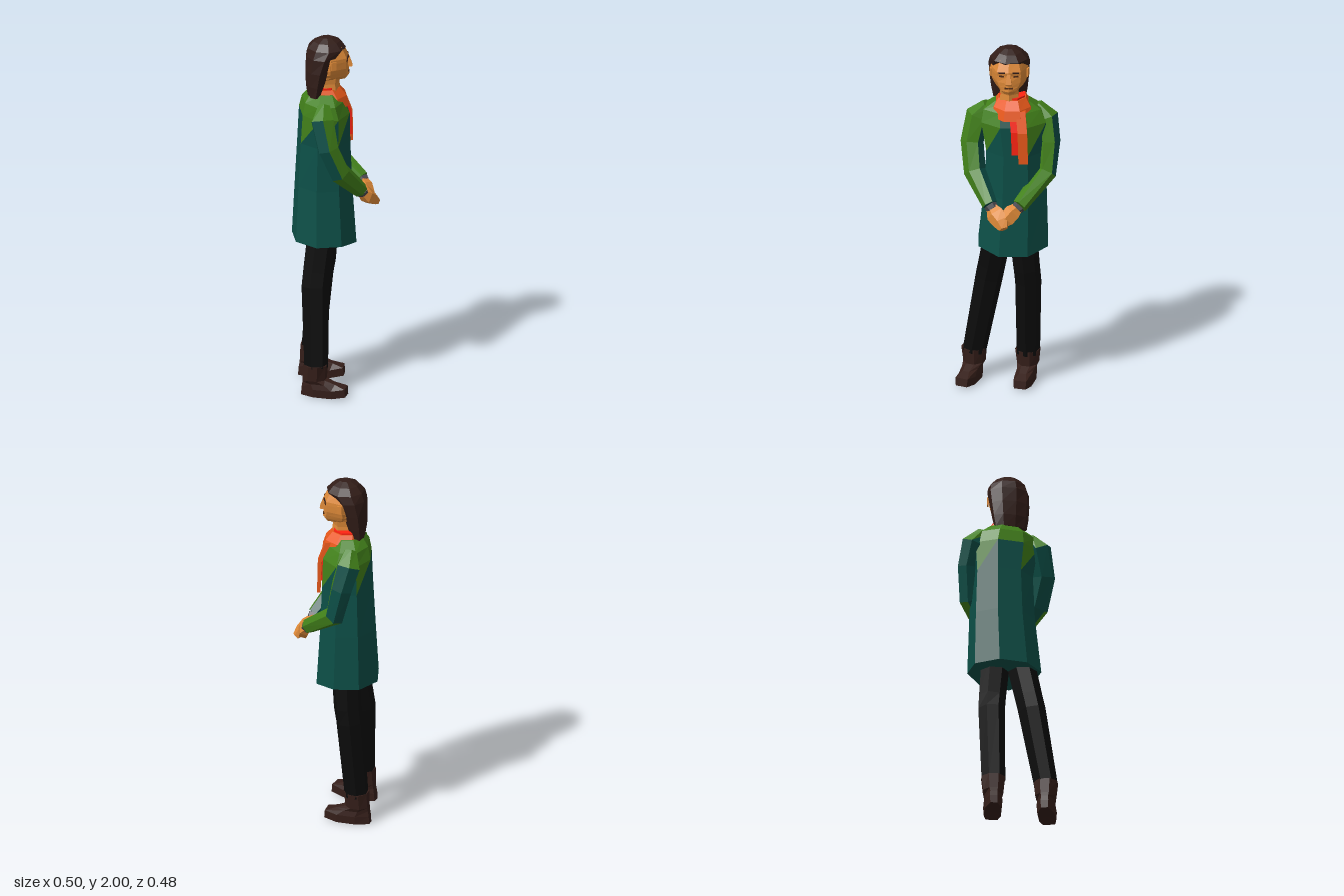
import * as THREE from 'three';

const V = (x, y, z) => new THREE.Vector3(x, y, z);
const mat = (color) => new THREE.MeshStandardMaterial({ color, flatShading: true, side: THREE.DoubleSide });

// Flat-faced skin over cross-sections; tint(centre, normal) picks one of the materials for each face.
function loft(name, rings, mats, tint = () => 0) {
  mats = [].concat(mats);
  const faces = mats.map(() => []);
  const tri = (a, b, c) => {
    const n = b.clone().sub(a).cross(c.clone().sub(a)).normalize();
    const m = a.clone().add(b).add(c).divideScalar(3);
    faces[tint(m, n)].push(...a.toArray(), ...b.toArray(), ...c.toArray());
  };
  const count = rings[0].length;
  const middle = (r) => r.reduce((s, p) => s.add(p), V(0, 0, 0)).divideScalar(count);
  const first = rings[0], last = rings[rings.length - 1];
  const c0 = middle(first), c1 = middle(last);
  for (let j = 0; j < count; j++) {
    const k = (j + 1) % count;
    for (let i = 0; i < rings.length - 1; i++) {
      const lo = rings[i], hi = rings[i + 1];
      tri(lo[j], lo[k], hi[k]);
      tri(lo[j], hi[k], hi[j]);
    }
    tri(c0, first[k], first[j]);
    tri(c1, last[j], last[k]);
  }
  const geo = new THREE.BufferGeometry();
  let start = 0;
  faces.forEach((f, i) => { geo.addGroup(start, f.length / 3, i); start += f.length / 3; });
  geo.setAttribute('position', new THREE.Float32BufferAttribute(faces.flat(), 3));
  geo.computeVertexNormals();
  const mesh = new THREE.Mesh(geo, mats);
  mesh.name = name;
  return mesh;
}

// Level ring: half width, front z, back z, sideways shift
function level(y, rx, zf, zb, n = 8, cx = 0) {
  return Array.from({ length: n }, (_, j) => {
    const a = (j + 0.5) / n * Math.PI * 2, g = 1 / Math.cos(Math.PI / n);
    return V(cx + Math.cos(a) * rx * g, y, (zf + zb) / 2 - Math.sin(a) * (zf - zb) / 2 * g);
  });
}

// Rings round a bent path; each point is [x, y, z, radius]
function along(path, n = 6, flat = 1) {
  const pts = path.map((p) => V(p[0], p[1], p[2]));
  return pts.map((p, i) => {
    const d = pts[Math.min(i + 1, pts.length - 1)].clone().sub(pts[Math.max(i - 1, 0)]).normalize();
    const u = d.clone().cross(V(0.55, 0.3, -0.83)).normalize(), v = d.clone().cross(u);
    return Array.from({ length: n }, (_, j) => {
      const a = j / n * Math.PI * 2, r = path[i][3];
      return p.clone().addScaledVector(u, Math.cos(a) * r).addScaledVector(v, Math.sin(a) * r * flat);
    });
  });
}

// Group whose +z faces the direction (fx, fz)
function facing(name, x, z, fx, fz) {
  const g = new THREE.Group();
  g.name = name;
  g.position.set(x, 0, z);
  g.rotation.y = Math.atan2(fx, fz);
  return g;
}

export function createModel() {
  const model = new THREE.Group();
  model.name = 'standingFigure';
  const skin = mat(0xdf8a38), hairMat = mat(0x321d18), teal = mat(0x0c4f47), green = mat(0x42811a);
  const orange = mat(0xe8581a), red = mat(0xff2412), black = mat(0x0b0b0b), leather = mat(0x361f1a), grey = mat(0x4c4a50);
  const dark = mat(0x4a2814);

  // Long coat with a green yoke, flaring to the hem
  const body = facing('coat', -0.045, 0.0, 0.57, -0.82);
  const coat = [
    level(0.84, 0.188, 0.17, -0.16, 8, 0.005), level(1.15, 0.167, 0.15, -0.143, 8, 0.018), level(1.4, 0.157, 0.14, -0.13, 8, 0.018),
    level(1.57, 0.175, 0.135, -0.122, 8, 0.008), level(1.64, 0.155, 0.105, -0.108), level(1.688, 0.09, 0.08, -0.075),
  ];
  coat[0].forEach((p) => { if (p.z > 0.1) p.y -= 0.02; });
  body.add(loft('coatBody', coat, [teal, green],
    (c, n) => (c.y > 1.57 || (c.y > 1.5 && Math.abs(c.x) > 0.08)) && !(n.z > 0.5 && Math.abs(c.x) < 0.05) ? 1 : 0));

  // Scarf: collar, lining and two hanging tails
  body.add(loft('scarfCollar', [level(1.61, 0.108, 0.14, -0.075), level(1.665, 0.1, 0.122, -0.08), level(1.71, 0.074, 0.085, -0.07)], orange));
  body.add(loft('scarfLining', [level(1.69, 0.07, 0.08, -0.07), level(1.72, 0.07, 0.078, -0.077)], red));
  const tail = (name, x, low, w, z, m) => body.add(loft(name, [
    level(low, w, z + 0.01, z - 0.008, 4, x + 0.005), level(1.55, w, z + 0.006, z - 0.015, 4, x), level(1.66, w, 0.122, 0.08, 4, x - 0.01),
  ], m));
  tail('scarfTail', 0.055, 1.37, 0.026, 0.157, orange);
  tail('scarfUnderTail', 0.015, 1.42, 0.022, 0.148, red);
  model.add(body);

  // Arms bent so that the hands meet in front
  const arms = {
    right: {
      sleeve: [[0.055, 1.645, 0.085, 0.035], [0.087, 1.58, 0.128, 0.068], [0.13, 1.43, 0.128, 0.062], [0.155, 1.28, 0.065, 0.06], [0.16, 1.14, -0.085, 0.042]],
      hand: [[0.155, 1.13, -0.09, 0.03], [0.152, 1.1, -0.13, 0.055], [0.148, 1.07, -0.175, 0.05], [0.156, 1.04, -0.21, 0.026]],
      green: (n) => n.x > 0.3 && n.z < 0.75,
    },
    left: {
      sleeve: [[-0.16, 1.645, -0.06, 0.035], [-0.195, 1.575, -0.098, 0.07], [-0.19, 1.45, -0.138, 0.062], [-0.157, 1.28, -0.16, 0.057], [0.045, 1.145, -0.2, 0.042]],
      hand: [[0.05, 1.14, -0.2, 0.03], [0.085, 1.115, -0.195, 0.048], [0.115, 1.08, -0.185, 0.046], [0.14, 1.05, -0.172, 0.024]],
      green: (n, c) => (c.x > -0.16 && n.z < 0.3) || n.x > 0.3,
    },
  };
  for (const [side, arm] of Object.entries(arms)) {
    model.add(loft(side + 'Sleeve', along(arm.sleeve), [teal, green], (c, n) => c.y > 1.59 || arm.green(n, c) ? 1 : 0));
    const [w, h] = arm.hand;
    model.add(loft(side + 'Cuff', along([[...arm.sleeve[4].slice(0, 3), 0.036], w.map((q, i) => i < 3 ? (q * 2 + h[i]) / 3 : 0.033)]), grey));
    model.add(loft(side + 'Hand', along(arm.hand, 5, 0.75), skin));
  }

  // Trousers and boots
  const legs = {
    left: { path: [[-0.14, 0.16, -0.01, 0.066], [-0.118, 0.6, -0.04, 0.074], [-0.105, 0.68, -0.045, 0.075], [-0.08, 0.92, -0.04, 0.08]], dir: [0.76, -0.65] },
    right: { path: [[0.085, 0.16, 0.175, 0.066], [0.024, 0.6, 0.125, 0.077], [0.018, 0.68, 0.108, 0.077], [0.005, 0.92, 0.055, 0.08]], dir: [0.85, -0.53] },
  };
  for (const [side, leg] of Object.entries(legs)) {
    model.add(loft(side + 'TrouserLeg', along(leg.path, 7), black));
    const boot = facing(side + 'Boot', leg.path[0][0], leg.path[0][2], ...leg.dir);
    const sole = level(0.0, 0.046, 0.172, -0.078), welt = level(0.045, 0.05, 0.168, -0.075);
    // Square toe, slightly raised
    for (const p of [...sole, ...welt]) {
      if (p.z > 0.15) { p.x *= 1.7; p.y += 0.012; }
    }
    boot.add(loft(side + 'BootFoot', [
      sole, welt, level(0.075, 0.046, 0.11, -0.07), level(0.095, 0.055, 0.055, -0.068), level(0.18, 0.064, 0.062, -0.064),
    ], leather));
    model.add(boot);
  }

  // Head and neck
  const head = facing('head', -0.023, -0.006, 0.6, -0.8);
  head.add(loft('neck', [level(1.64, 0.055, 0.07, -0.04, 6), level(1.74, 0.048, 0.06, -0.04, 6), level(1.83, 0.06, 0.075, -0.05, 6)], skin));

  // Face sections: y, front z, cheek x, cheek z, side x, side z
  const faceRows = [
    [1.765, 0.108, 0.028, 0.095, 0.045, 0.03], [1.785, 0.122, 0.04, 0.102, 0.075, 0.015], [1.81, 0.12, 0.052, 0.1, 0.09, 0.01],
    [1.835, 0.12, 0.062, 0.098, 0.098, 0.01], [1.875, 0.113, 0.066, 0.096, 0.102, 0.01],
    [1.895, 0.118, 0.064, 0.1, 0.102, 0.01], [1.955, 0.09, 0.05, 0.075, 0.085, 0.0],
  ];
  head.add(loft('face', faceRows.map(([y, zf, xc, zc, xs, zs]) => [
    V(xs, y, zs), V(0.06, y, -0.06), V(-0.06, y, -0.06), V(-xs, y, zs), V(-xc, y, zc), V(0, y, zf), V(xc, y, zc),
  ]), skin));
  head.add(loft('nose', [level(1.828, 0.018, 0.134, 0.1, 4), level(1.838, 0.016, 0.138, 0.1, 4), level(1.89, 0.009, 0.12, 0.1, 4)], skin));
  const patch = (name, w, h, x, y, z, turn, m, tilt = 0) => {
    const p = new THREE.Mesh(new THREE.BoxGeometry(w, h, 0.008), m);
    p.name = name;
    p.position.set(x, y, z);
    p.rotation.set(0, turn, tilt);
    head.add(p);
  };
  patch('mouth', 0.046, 0.007, 0, 1.806, 0.116, 0, dark);
  for (const s of [-1, 1]) {
    patch('eye', 0.026, 0.008, s * 0.038, 1.872, 0.104, s * 0.25, dark);
    patch('eyebrow', 0.036, 0.007, s * 0.038, 1.894, 0.109, s * 0.3, hairMat, -s * 0.12);
    patch('ear', 0.028, 0.045, s * 0.1, 1.865, 0.026, s * 1.35, skin);
  }

  // Shoulder-length hair, swept back from the face
  head.add(loft('hair', [
    level(1.675, 0.085, -0.035, -0.105, 9), level(1.74, 0.096, -0.012, -0.114, 9), level(1.82, 0.104, 0.015, -0.116, 9),
    level(1.9, 0.108, 0.06, -0.112, 9), level(1.945, 0.098, 0.097, -0.1, 9), level(1.98, 0.066, 0.068, -0.07, 9), level(2.0, 0.028, 0.03, -0.03, 9),
  ], hairMat));
  model.add(head);
  return model;
}
